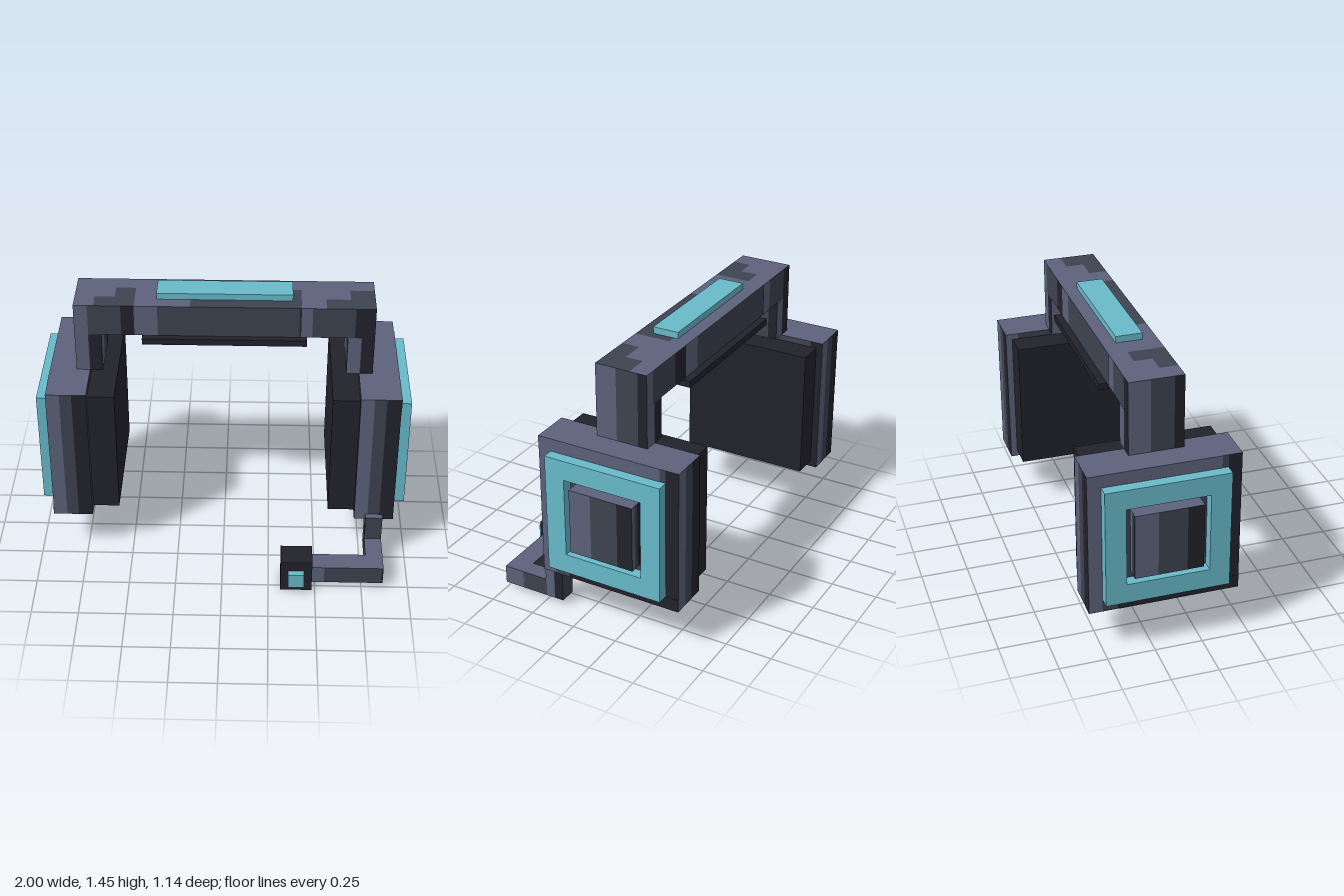
import * as THREE from 'three';

const mat = (name, color) => {
  const m = new THREE.MeshStandardMaterial({ color });
  m.name = name;
  return m;
};

export function createModel() {
  const light = mat('lightSlate', 0x5d627b);
  const mid = mat('midSlate', 0x3d4350);
  const dark = mat('darkSlate', 0x22222c);
  const cyan = mat('cyan', 0x69bbcb);
  const model = new THREE.Group();
  model.name = 'headset';

  // Plain box given by its [min, max] extents
  function box(parent, name, material, [x0, x1], [y0, y1], [z0, z1]) {
    const mesh = new THREE.Mesh(new THREE.BoxGeometry(x1 - x0, y1 - y0, z1 - z0), material);
    mesh.position.set((x0 + x1) / 2, (y0 + y1) / 2, (z0 + z1) / 2);
    mesh.name = name;
    parent.add(mesh);
    return mesh;
  }

  // Box whose upright faces are painted light, mid, dark from left to right.
  // zCuts: where the bands change on front and back; xCuts: on the two sides.
  function bandedBox(parent, name, xs, ys, zs, zCuts, xCuts, patchedTop = false) {
    const mesh = box(parent, name, [light, mid, dark], xs, ys, zs);
    const geo = new THREE.BoxGeometry(xs[1] - xs[0], ys[1] - ys[0], zs[1] - zs[0], 3, 1, 3);
    const { position, normal, uv } = geo.attributes;
    for (let i = 0; i < position.count; i++) {
      const u = uv.getX(i);
      const col = Math.round(u * 3);
      if (Math.abs(normal.getY(i)) > 0.5 || col === 0 || col === 3) continue;
      const onSide = Math.abs(normal.getX(i)) > 0.5;
      const k = ((onSide ? xCuts : zCuts)[col - 1] - 0.5) / (u - 0.5);
      if (onSide) position.setZ(i, position.getZ(i) * k);
      else position.setX(i, position.getX(i) * k);
    }
    geo.clearGroups();
    let start = 0;
    for (let face = 0; face < 6; face++) {
      const rows = face === 2 || face === 3 ? 3 : 1;
      for (let row = 0; row < rows; row++) {
        for (let col = 0; col < 3; col++) {
          let m = col;
          if (face === 2) m = patchedTop && row + col >= 3 ? 1 : 0;
          if (face === 3) m = 2;
          geo.addGroup(start, 6, m);
          start += 6;
        }
      }
    }
    mesh.geometry = geo;
    return mesh;
  }

  const bandY = [1.24, 1.415], bandZ = [-0.32, -0.035], sideCuts = [0.4, 0.82];
  const midZ = -0.178;

  // Headband in three painted lengths
  const headband = new THREE.Group();
  headband.name = 'headband';
  model.add(headband);
  bandedBox(headband, 'bandRight', [-0.785, -0.47], bandY, bandZ, [0.23, 0.78], sideCuts, true);
  bandedBox(headband, 'bandMiddle', [-0.47, 0.4], bandY, bandZ, [0.14, 0.99], sideCuts, true);
  bandedBox(headband, 'bandLeft', [0.4, 0.785], bandY, bandZ, [0.15, 0.73], sideCuts, true);
  box(headband, 'bandLight', cyan, [-0.355, 0.355], [1.415, 1.45], [-0.25, -0.11]);
  box(headband, 'headPad', dark, [-0.43, 0.43], [1.205, 1.24], [-0.36, 0]);

  // Square ring with a square hole, facing +x
  function ringGeometry() {
    const square = (C, r) => {
      const s = new C();
      s.moveTo(-r, -r);
      s.lineTo(r, -r);
      s.lineTo(r, r);
      s.lineTo(-r, r);
      s.closePath();
      return s;
    };
    const shape = square(THREE.Shape, 0.322);
    shape.holes.push(square(THREE.Path, 0.215));
    return new THREE.ExtrudeGeometry(shape, { depth: 0.06, bevelEnabled: false }).rotateY(Math.PI / 2);
  }

  // Ear pieces: the same unit turned half round for the other side
  for (const [name, turn] of [['leftEar', 0], ['rightEar', Math.PI]]) {
    const ear = new THREE.Group();
    ear.name = name;
    ear.position.z = midZ;
    ear.rotation.y = turn;
    model.add(ear);
    bandedBox(ear, 'arm', [0.645, 0.785], [1.02, 1.24], [-0.1425, 0.1425], [0.5, 0.52], sideCuts);
    bandedBox(ear, 'earCup', [0.713, 0.925], [0.24, 1.022], [-0.393, 0.393], [0.34, 0.64], [0.09, 0.91]);
    box(ear, 'cushion', dark, [0.57, 0.713], [0.275, 0.99], [-0.357, 0.357]);
    // Painted rims above and below the ring
    box(ear, 'upperRim', light, [0.923, 0.927], [0.95, 1.022], [-0.29, 0.393]);
    box(ear, 'lowerRim', dark, [0.923, 0.927], [0.24, 0.31], [-0.393, 0.24]);
    const ring = new THREE.Mesh(ringGeometry(), cyan);
    ring.name = 'lightRing';
    ring.position.set(0.925, 0.632, 0);
    ear.add(ring);
    bandedBox(ear, 'centreBlock', [0.925, 1], [0.453, 0.81], [-0.178, 0.178], [0.34, 0.7], [0.34, 0.76]);
  }

  // Microphone boom below the left cup
  const microphone = new THREE.Group();
  microphone.name = 'microphone';
  model.add(microphone);
  const boomY = [0.03, 0.13];
  bandedBox(microphone, 'boomDrop', [0.773, 0.865], [0.03, 0.272], [0.147, 0.25], [0.02, 0.98], [0.5, 0.52]);
  bandedBox(microphone, 'boomForward', [0.773, 0.865], boomY, [0.25, 0.39], [0.02, 0.98], [0.02, 0.98]);
  bandedBox(microphone, 'boomAcross', [0.48, 0.865], boomY, [0.39, 0.503], [0.18, 0.98], [0.97, 0.99]);
  box(microphone, 'microphoneHead', dark, [0.315, 0.483], [0, 0.188], [0.395, 0.535]);
  box(microphone, 'microphoneLight', cyan, [0.355, 0.44], [0.048, 0.132], [0.535, 0.572]);

  return model;
}
